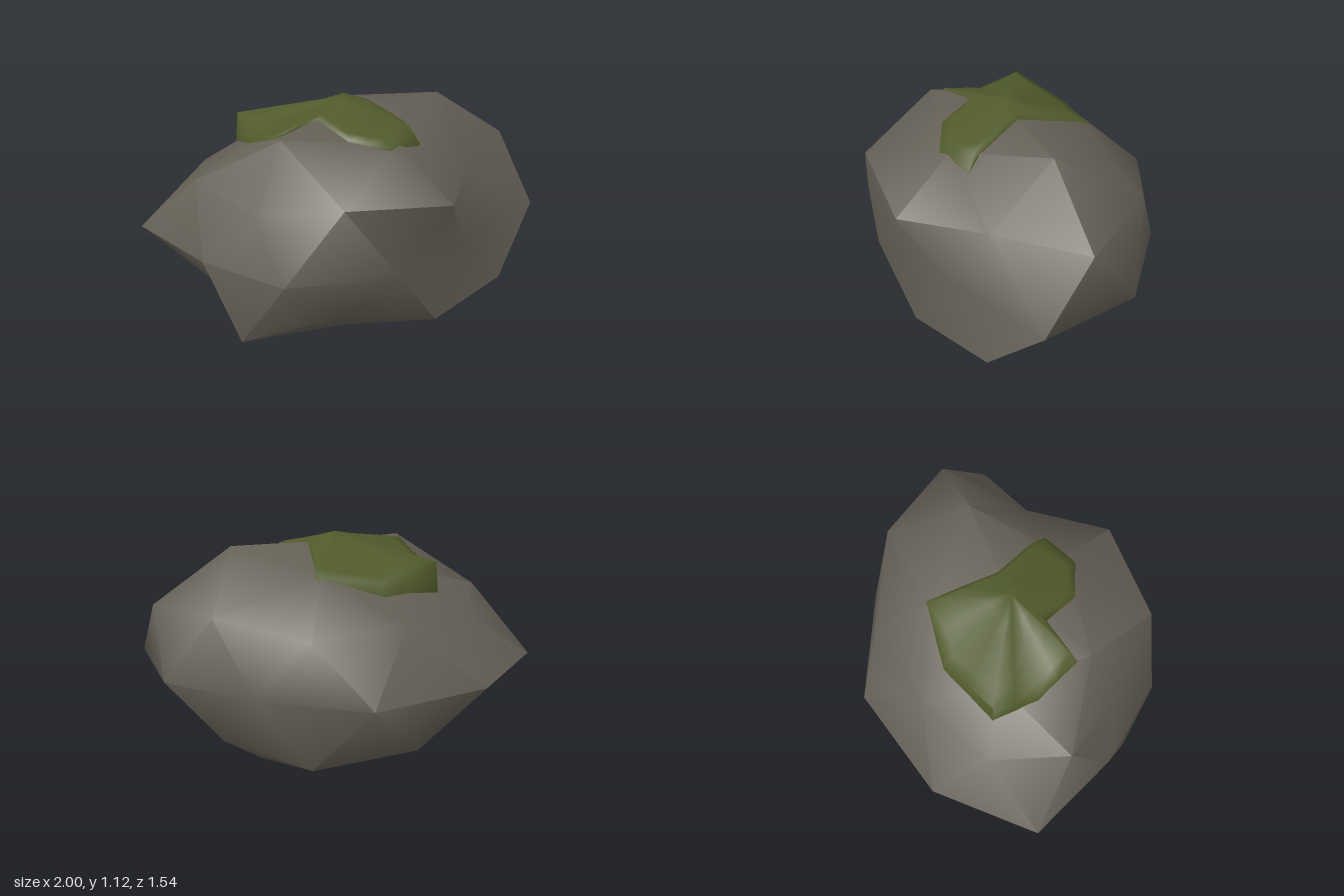
import * as THREE from 'three';
import { toCreasedNormals } from 'three/addons/utils/BufferGeometryUtils.js';

const CENTRE = [0, 0.46, 0.06];
const RADII = [1, 0.7, 0.815];
const ICO = [0.894, 0.447], MID = [0.851, 0.526], CAP = [0.526, 0.851], EQUATOR = [1, 0];

// Ring of an icosphere pushed in or out by one factor per point, flattened at the ground.
// levels holds [radius, height] for even and odd points; sign -1 gives the lower half
function ring(start, sign, levels, factors) {
  const pts = factors.map((f, i) => {
    const [r, h] = levels[i % levels.length];
    const a = THREE.MathUtils.degToRad(start + (i * 360) / factors.length);
    return [
      CENTRE[0] + f * RADII[0] * r * Math.cos(a),
      Math.max(0, CENTRE[1] + f * RADII[1] * h * sign),
      CENTRE[2] + f * RADII[2] * r * Math.sin(a),
    ];
  });
  return { start, pts };
}

const point = (x, y, z) => ({ start: 0, pts: [[x, y, z]] });

// Zip rings together from bottom to top, always advancing the ring that lags in angle
function skin(rings, crease) {
  const pos = [];
  const tri = (...p) => p.forEach((v) => pos.push(...v));
  const at = (r, i) => r.pts[i % r.pts.length];
  const next = (r, i) => {
    const n = r.pts.length;
    return n === 1 || i === n ? Infinity : r.start + ((i + 1) * 360) / n;
  };
  for (let k = 0; k < rings.length - 1; k++) {
    const a = rings[k], b = rings[k + 1];
    let i = 0, j = 0;
    while (next(a, i) < Infinity || next(b, j) < Infinity) {
      const na = next(a, i), nb = next(b, j);
      if (na < nb || (na === nb && a.pts.length <= b.pts.length)) {
        tri(at(a, i), at(b, j), at(a, i + 1));
        i++;
      } else {
        tri(at(a, i), at(b, j), at(b, j + 1));
        j++;
      }
    }
  }
  const geo = new THREE.BufferGeometry();
  geo.setAttribute('position', new THREE.Float32BufferAttribute(pos, 3));
  return toCreasedNormals(geo, crease);
}

export function createModel() {
  const group = new THREE.Group();
  const stone = new THREE.MeshStandardMaterial({ name: 'stone', color: 0x656056 });
  const mossGreen = new THREE.MeshStandardMaterial({ name: 'mossGreen', color: 0x505a2b });
  const add = (name, geo, mat) => {
    const mesh = new THREE.Mesh(geo, mat);
    mesh.name = name;
    group.add(mesh);
    return mesh;
  };

  // Boulder
  const base = ring(36, -1, [CAP], [1, 0.8, 1.05, 0.98, 1.05]);
  const boulder = add('boulder', skin([
    base,
    ring(0, -1, [MID, ICO], [0.77, 1, 0.935, 0.8, 1, 0.79, 0.82, 0.96, 0.98, 0.9]),
    ring(18, 1, [EQUATOR], [1.05, 0.75, 0.865, 0.905, 0.85, 1.053, 1.025, 1.02, 0.88, 0.965]),
    ring(0, 1, [ICO, MID], [1.05, 0.8, 0.985, 1, 0.78, 0.9, 0.86, 0.85, 0.91, 0.99]),
    ring(0, 1, [CAP], [1.02, 0.86, 0.955, 0.81, 0.88]),
    point(0, 1.07, 0.06),
  ], 0.95), stone);

  // Flat underside
  add('underside', skin([point(0, 0, 0.06), base], 0.5), stone);

  // Moss patch: ragged rim (x, z, least height), raised at the back and draped at the front
  const rim = [[0.14, 0.05, 0], [0.25, 0.29, 0], [0.28, 0.37, 0], [0.09, 0.445, 0], [-0.09, 0.36, 0],
    [-0.17, 0.17, 0], [-0.4, 0.23, 0.99], [-0.475, 0, 0.94], [-0.46, -0.22, 1.0],
    [-0.15, -0.345, 0.94], [0.17, -0.31, 0.985]];
  const edge = rim.flatMap((p, i) => {
    const q = rim[(i + 1) % rim.length];
    return [p, p.map((v, k) => (v + q[k]) / 2)];
  });
  const apex = [0, 1.118, 0.06];
  const ray = new THREE.Raycaster();
  const down = new THREE.Vector3(0, -1, 0);
  const drape = (t, lift, raised) => ({
    start: 0,
    pts: edge.map(([ex, ez, ey]) => {
      const x = apex[0] + (ex - apex[0]) * t, z = apex[2] + (ez - apex[2]) * t;
      ray.set(new THREE.Vector3(x, 3, z), down);
      const ground = ray.intersectObject(boulder)[0].point.y + lift;
      return [x, raised ? Math.max(ground, apex[1] + (ey - apex[1]) * t) : ground, z];
    }),
  });
  add('mossPatch', skin([
    drape(1.03, -0.03, false), drape(1, 0.012, true), drape(0.87, 0.018, true), drape(0.74, 0.022, true),
    drape(0.5, 0.028, true), drape(0.25, 0.036, true), point(...apex),
  ], 1.5), mossGreen);

  return group;
}
